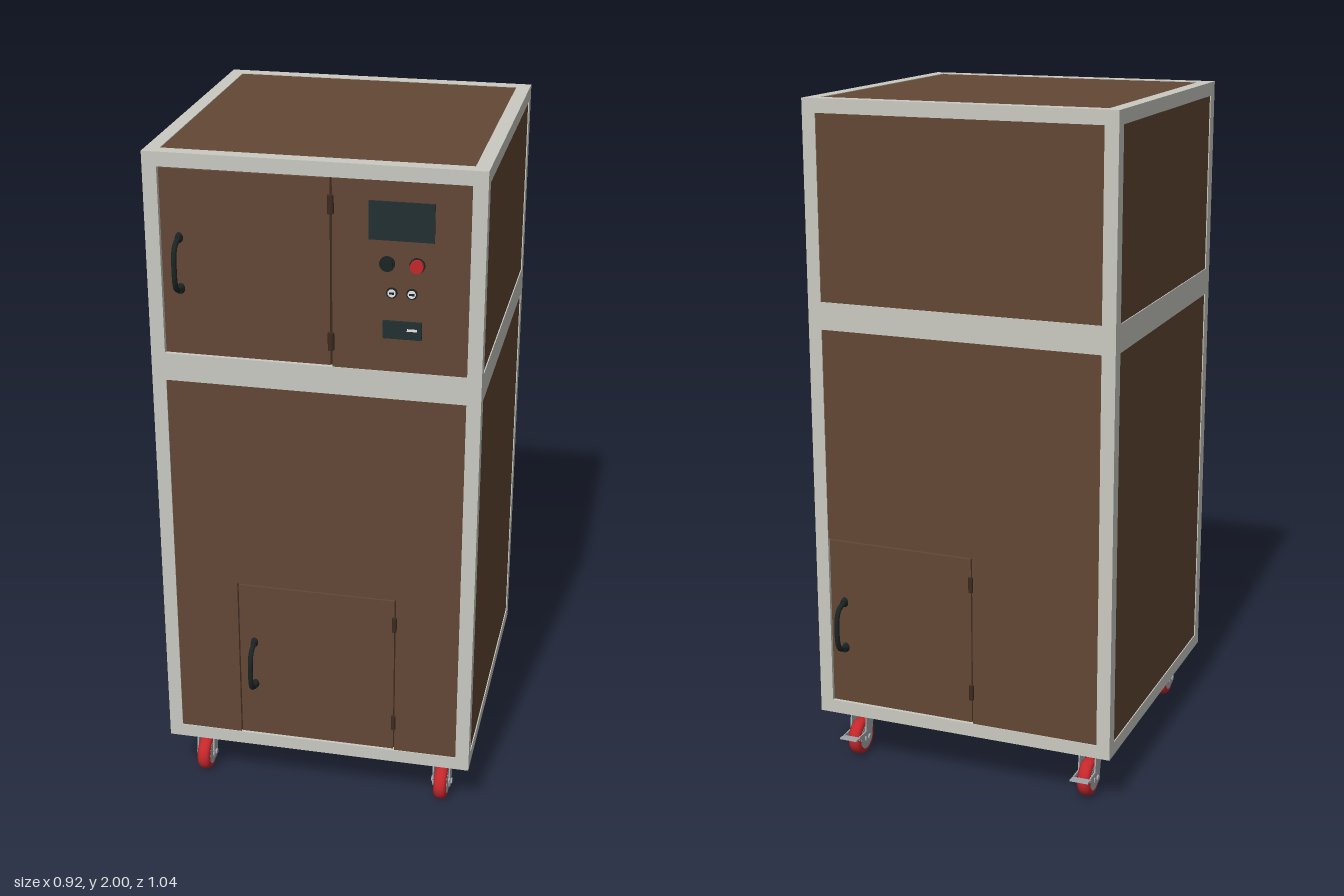
import * as THREE from 'three';

const mat = (name, color, side = THREE.FrontSide) => {
  const m = new THREE.MeshStandardMaterial({ color, side });
  m.name = name;
  return m;
};

export function createModel() {
  const brown = mat('brown panel', 0x634735);
  const cream = mat('frame grey', 0xcacac2);
  const black = mat('black plastic', 0x1b2424);
  const screenMat = mat('dark screen', 0x223032);
  const red = mat('red', 0xc4272b);
  const steel = mat('steel', 0xa6abb0);
  const hingeMat = mat('dark hinge', 0x3d2b21);
  const white = mat('white', 0xeeeeee);

  const root = new THREE.Group();
  root.name = 'cabinet';
  const add = (name, geo, m, x = 0, y = 0, z = 0, parent = root) => {
    const mesh = new THREE.Mesh(geo, m);
    mesh.name = name;
    mesh.position.set(x, y, z);
    parent.add(mesh);
    return mesh;
  };
  // Box given by its limits on each axis
  const block = (name, m, x0, x1, y0, y1, z0, z1, parent = root) =>
    add(name, new THREE.BoxGeometry(x1 - x0, y1 - y0, z1 - z0), m,
      (x0 + x1) / 2, (y0 + y1) / 2, (z0 + z1) / 2, parent);
  // Cylinder lying along z
  const disc = (name, m, r, depth, x, y, z, parent = root) => {
    const d = add(name, new THREE.CylinderGeometry(r, r, depth, 24), m, x, y, z, parent);
    d.rotation.x = Math.PI / 2;
    return d;
  };

  // Frame: four posts and three levels of rails
  const H = 0.46, I = 0.42, B = 0.165, F = 0.457;
  for (const s of [-1, 1]) {
    for (const t of [-1, 1])
      block('framePost', cream, s * 0.44 - 0.02, s * 0.44 + 0.02, B, 2, t * 0.44 - 0.02, t * 0.44 + 0.02);
    for (const [y0, y1] of [[B, 0.205], [1.35, 1.43], [1.96, 2]]) {
      block('frameRail', cream, -I, I, y0, y1, s * 0.44 - 0.02, s * 0.44 + 0.02);
      block('frameRail', cream, s * 0.44 - 0.02, s * 0.44 + 0.02, y0, y1, -I, I);
    }
  }

  // Plain panels on the sides, top, bottom and upper back
  for (const s of [-1, 1])
    for (const [y0, y1] of [[0.205, 1.35], [1.43, 1.96]])
      block('sidePanel', brown, s * 0.4485 - 0.0085, s * 0.4485 + 0.0085, y0, y1, -I, I);
  block('topPanel', brown, -I, I, 1.98, 1.998, -I, I);
  block('bottomPanel', brown, -I, I, 0.168, 0.185, -I, I);
  block('upperBackPanel', brown, -I, I, 1.43, 1.96, -F, -0.44);

  // Lower panels with a cut-out for a door, backed by an inner sheet
  const gap = 0.004;
  const doorTop = 0.72;
  const lowerWall = (name, x0, x1, back) => {
    const wall = new THREE.Group();
    wall.name = name;
    const s = new THREE.Shape();
    s.moveTo(-I, 0.205);
    if (x0 > -I) { s.lineTo(x0, 0.205); s.lineTo(x0, doorTop); }
    else s.lineTo(-I, doorTop);
    s.lineTo(x1, doorTop);
    s.lineTo(x1, 0.205);
    s.lineTo(I, 0.205);
    s.lineTo(I, 1.35);
    s.lineTo(-I, 1.35);
    if (x0 <= -I) s.curves.shift();
    add(name + 'Panel', new THREE.ExtrudeGeometry(s, { depth: 0.012, bevelEnabled: false }), brown, 0, 0, F - 0.012, wall);
    block('innerSheet', hingeMat, -I, I, 0.205, 1.35, 0.435, 0.444, wall);
    block('accessDoor', brown, x0 + gap, x1 - gap, 0.205 + gap, doorTop - gap, 0.445, F, wall);
    for (const y of [0.305, 0.64]) hinge(x1 - 0.003, y, 0.045, 0.007, wall);
    handle(x0 + 0.048, 0.455, wall);
    if (back) wall.rotation.y = Math.PI;
    root.add(wall);
  };

  function hinge(x, y, h, r, parent) {
    add('hinge', new THREE.CylinderGeometry(r, r, h, 12), hingeMat, x, y, 0.461, parent);
  }

  // Bow handle with two feet
  function handle(x, y, parent) {
    const g = new THREE.Group();
    g.name = 'handle';
    const pts = [[-0.068, 0], [-0.068, 0.025], [-0.058, 0.043], [-0.035, 0.053], [0, 0.055],
      [0.035, 0.053], [0.058, 0.043], [0.068, 0.025], [0.068, 0]]
      .map(([v, z]) => new THREE.Vector3(0, v, z));
    add('handleBow', new THREE.TubeGeometry(new THREE.CatmullRomCurve3(pts), 40, 0.0075, 10), black, 0, 0, 0, g);
    for (const s of [-1, 1]) {
      const foot = add('handleFoot', new THREE.CylinderGeometry(0.008, 0.011, 0.016, 14), black, 0, s * 0.072, 0.008, g);
      foot.rotation.x = Math.PI / 2;
      foot.scale.z = 1.4;
    }
    g.position.set(x, y, F);
    parent.add(g);
  }

  lowerWall('lowerFront', -0.235, 0.235, false);
  lowerWall('lowerBack', -I, 0.038, true);

  // Upper front: hinged door and control panel
  block('innerSheet', hingeMat, -I, I, 1.43, 1.96, 0.435, 0.444);
  block('upperDoor', brown, -I + gap, 0.046, 1.43 + gap, 1.96 - gap, 0.445, F);
  block('controlPanel', brown, 0.052, I, 1.43, 1.96, 0.445, F);
  for (const y of [1.505, 1.888]) hinge(0.049, y, 0.05, 0.009, root);
  handle(-0.366, 1.695, root);

  // Controls
  block('screen', screenMat, 0.15, 0.325, 1.8, 1.905, F, 0.462);
  disc('blackButtonRing', black, 0.021, 0.006, 0.2, 1.735, 0.46);
  disc('blackButton', black, 0.016, 0.016, 0.2, 1.735, 0.464);
  disc('redButtonRing', black, 0.021, 0.004, 0.28, 1.735, 0.459);
  disc('redButton', red, 0.018, 0.016, 0.28, 1.735, 0.464);
  for (const x of [0.213, 0.267]) {
    disc('switchRing', black, 0.015, 0.004, x, 1.655, 0.459);
    disc('switchCap', white, 0.011, 0.006, x, 1.655, 0.46);
    block('switchSlot', black, x - 0.007, x + 0.007, 1.652, 1.658, 0.46, 0.464);
  }
  block('socketPlate', screenMat, 0.19, 0.295, 1.528, 1.577, F, 0.466);
  block('socketMark', white, 0.256, 0.283, 1.552, 1.559, 0.466, 0.467);

  // Casters, with the local +z pointing out of the cabinet
  const tyreProfile = [[0.036, -0.019], [0.048, -0.019], [0.054, -0.013], [0.057, -0.005],
    [0.057, 0.005], [0.054, 0.013], [0.048, 0.019], [0.036, 0.019]].map(p => new THREE.Vector2(...p));
  const forkShape = new THREE.Shape();
  forkShape.moveTo(-0.042, 0.085);
  forkShape.lineTo(0.012, 0.085);
  forkShape.lineTo(0.02, 0.01);
  forkShape.absarc(0, 0, 0.02, 0.4, -Math.PI + 0.3, true);
  forkShape.closePath();
  const forkGeo = new THREE.ExtrudeGeometry(forkShape, { depth: 0.004, bevelEnabled: false });
  const caster = (x, side) => {
    const g = new THREE.Group();
    g.name = 'caster';
    const axle = (name, geo, m) => { add(name, geo, m, 0, 0, 0, g).rotation.z = Math.PI / 2; };
    axle('tyre', new THREE.LatheGeometry(tyreProfile, 40), red);
    axle('wheelHub', new THREE.CylinderGeometry(0.039, 0.039, 0.039, 32), steel);
    axle('axleBolt', new THREE.CylinderGeometry(0.009, 0.009, 0.064, 6), steel);
    for (const s of [-1, 1]) {
      const f = add('forkLeg', forkGeo, steel, s * 0.025 + 0.002, 0, 0, g);
      f.rotation.y = -Math.PI / 2;
    }
    block('forkCrown', steel, -0.027, 0.027, 0.068, 0.086, -0.045, 0.012, g);
    add('swivel', new THREE.CylinderGeometry(0.032, 0.027, 0.016, 24), steel, 0, 0.09, -0.02, g);
    block('mountPlate', steel, -0.042, 0.042, 0.096, 0.104, -0.068, 0.032, g);
    if (side < 0) {
      // Brake pedal on the rear pair
      const pedal = block('brakePedal', steel, -0.028, 0.028, 0.018, 0.023, 0.058, 0.088, g);
      pedal.rotation.x = -0.15;
      for (const s of [-1, 1]) block('brakeArm', steel, s * 0.025 - 0.002, s * 0.025 + 0.002, 0.012, 0.024, 0, 0.062, g);
    }
    g.position.set(x, 0.061, side * 0.378);
    if (side < 0) g.rotation.y = Math.PI;
    root.add(g);
  };
  for (const x of [-0.37, 0.37]) for (const s of [-1, 1]) caster(x, s);

  return root;
}
